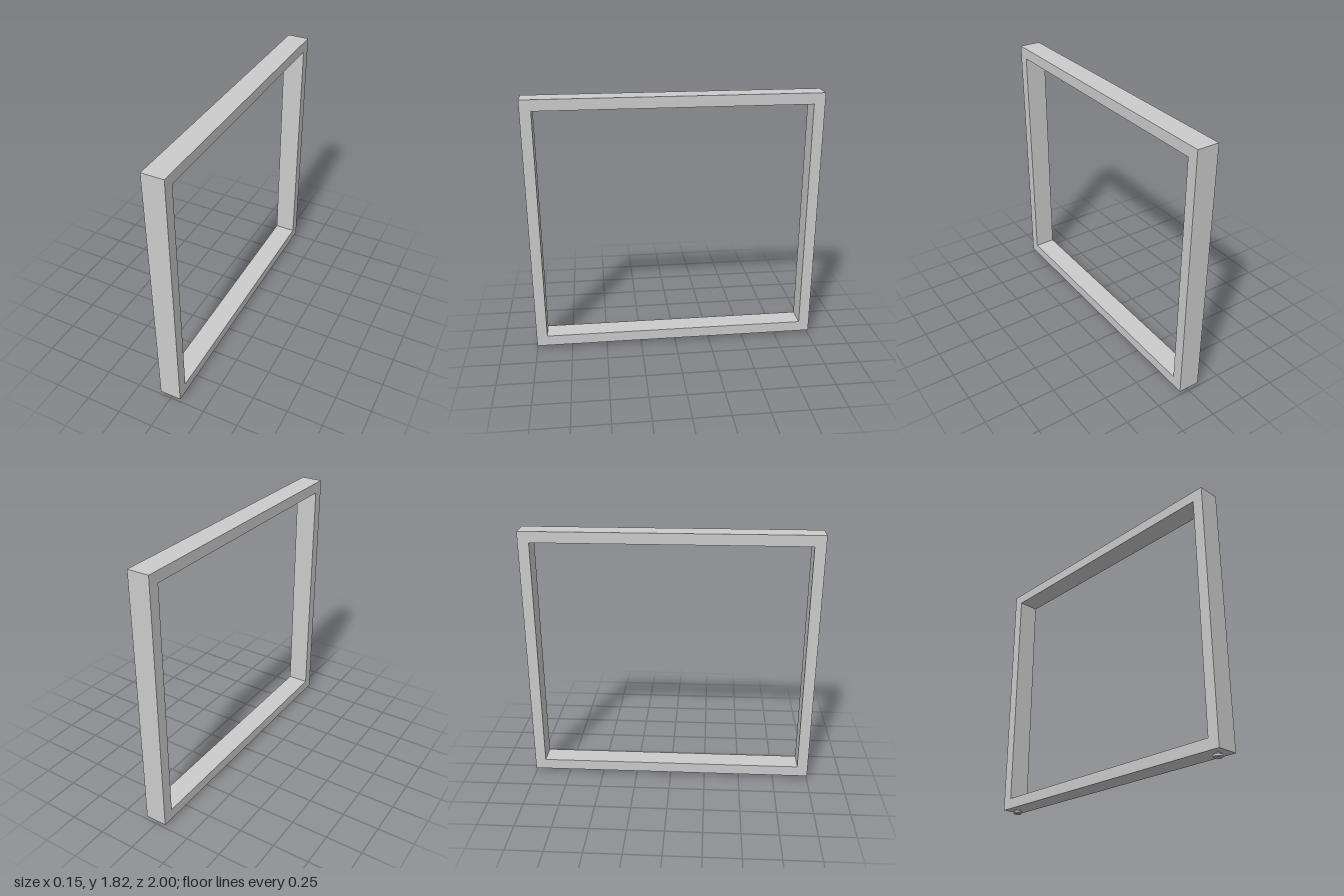
import * as THREE from 'three';

const WIDTH = 0.15;    // across x
const BAR = 0.075;     // bar thickness
const BOTTOM = 0.028;  // underside of the frame
const TOP = 1.815;

function rectangle(target, z, y0, y1) {
  target.moveTo(-z, y0);
  target.lineTo(z, y0);
  target.lineTo(z, y1);
  target.lineTo(-z, y1);
  target.closePath();
  return target;
}

export function createModel() {
  const group = new THREE.Group();
  group.name = 'tableLegFrame';
  const material = new THREE.MeshStandardMaterial({ color: 0xcccccc });

  // Closed rectangular frame, standing in the y-z plane
  const outline = rectangle(new THREE.Shape(), 1, BOTTOM, TOP);
  outline.holes.push(rectangle(new THREE.Path(), 1 - BAR, BOTTOM + BAR, TOP - BAR));
  const frameGeometry = new THREE.ExtrudeGeometry(outline, { depth: WIDTH, bevelEnabled: false });
  frameGeometry.translate(0, 0, -WIDTH / 2);
  frameGeometry.rotateY(Math.PI / 2);
  const frame = new THREE.Mesh(frameGeometry, material);
  frame.name = 'frame';
  group.add(frame);

  // Small levelling feet: a round pad with a chamfered rim and a narrower neck
  const padGeometry = new THREE.LatheGeometry([
    [0, 0], [0.024, 0], [0.024, 0], [0.03, 0.006], [0.03, 0.006], [0.03, 0.018],
    [0.03, 0.018], [0.02, 0.022], [0.02, 0.022], [0.02, BOTTOM],
  ].map(([r, y]) => new THREE.Vector2(r, y)), 24);
  for (const side of [1, -1]) {
    const foot = new THREE.Mesh(padGeometry, material);
    foot.name = side > 0 ? 'frontFoot' : 'backFoot';
    foot.position.z = side * 0.93;
    group.add(foot);
  }
  return group;
}
